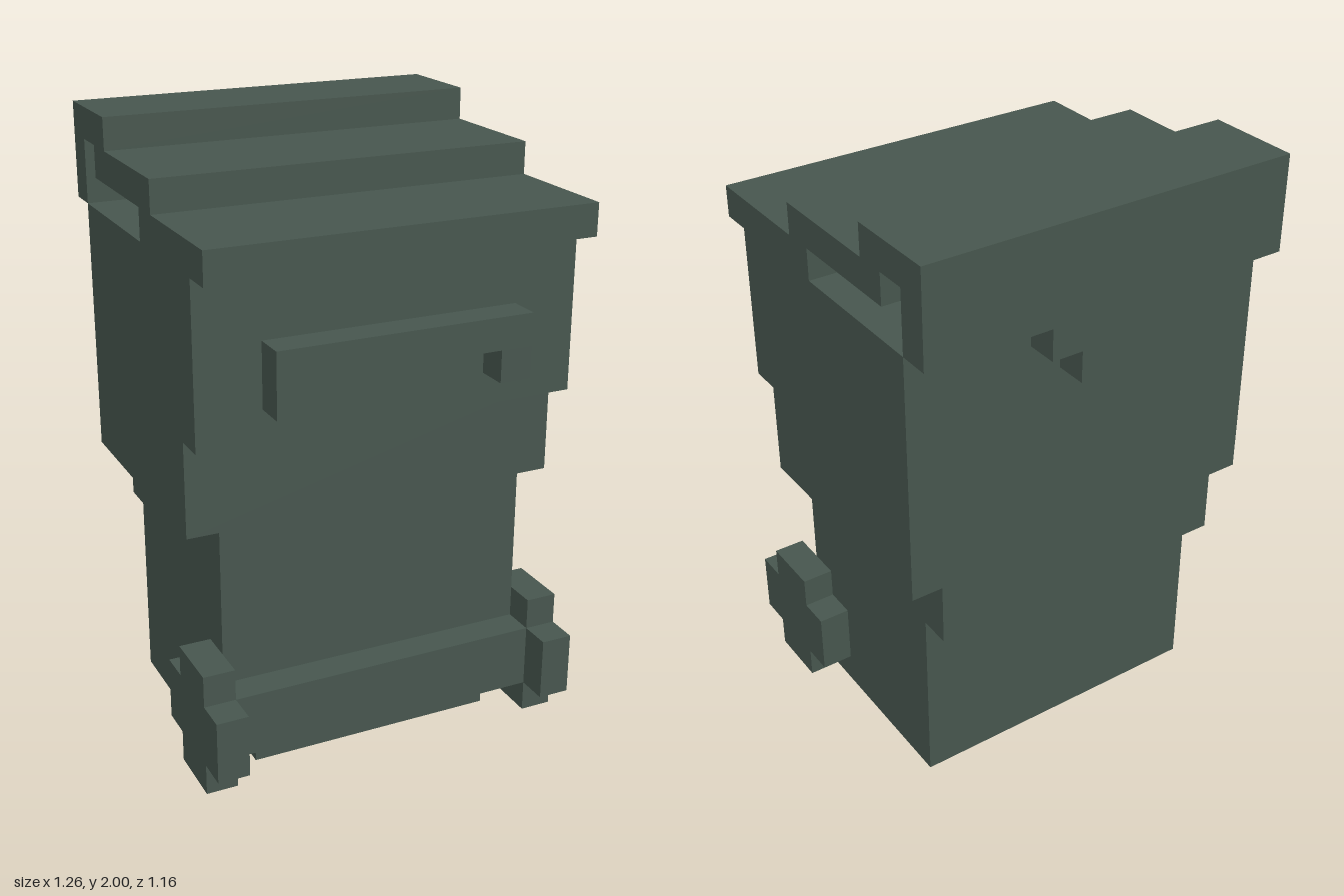
import * as THREE from 'three';

const U = 2 / 19; // one grid step of the blocky design

export function createModel() {
  const group = new THREE.Group();
  const darkGreen = new THREE.MeshStandardMaterial({ color: 0x47564e });

  const add = (name, geometry) => {
    geometry.scale(U, U, U);
    const mesh = new THREE.Mesh(geometry, darkGreen);
    mesh.name = name;
    group.add(mesh);
  };

  // Box given by its limits in grid steps
  const box = (name, x0, x1, y0, y1, z0, z1) =>
    add(name, new THREE.BoxGeometry(x1 - x0, y1 - y0, z1 - z0)
      .translate((x0 + x1) / 2, (y0 + y1) / 2, (z0 + z1) / 2));

  // Side profile of [z, y] points, extruded across x
  const profile = (name, points, x0, x1) => {
    const shape = new THREE.Shape(points.map(([z, y]) => new THREE.Vector2(-z, y)));
    add(name, new THREE.ExtrudeGeometry(shape, { depth: x1 - x0, bevelEnabled: false })
      .rotateY(Math.PI / 2).translate(x0, 0, 0));
  };

  // Lower bin, with its base cut away at the front corners for the wheels
  profile('lowerBody', [[3.5, 1], [3.5, 8], [-4.5, 8], [-4.5, 6], [-3.5, 6], [-3.5, 0], [2.5, 0], [2.5, 1]], -5, 5);
  box('baseFront', -4, 4, 0, 1, 2.5, 3.5);

  // Wider upper bin with a thicker front rim
  profile('upperBody', [[3.5, 8], [3.5, 11], [4.5, 11], [4.5, 16], [-4.5, 16], [-4.5, 8]], -6, 6);

  // Stepped lid that folds down over the back
  profile('lid', [
    [5.5, 16], [5.5, 17], [1.5, 17], [1.5, 18], [-2.5, 18], [-2.5, 19], [-5.5, 19], [-5.5, 16],
    [-4.5, 16], [-4.5, 18], [-3.5, 18], [-3.5, 17], [0.5, 17], [0.5, 16],
  ], -6, 6);

  // Hinge: inner block and stepped tab on the back
  box('hingeBlock', -2, 2, 16, 17, -4.5, -3.5);
  box('hingeTabUpper', -2, 2, 15, 16, -5.5, -4.5);
  box('hingeTabLower', -1, 1, 14, 15, -5.5, -4.5);

  // Front handle
  box('handleBar', -4, 4, 13, 14, 4.5, 5.5);

  // Axle housing between the wheels
  box('axle', -5, 5, 1, 3, 3.5, 4.5);

  for (const [side, s] of [['left', 1], ['right', -1]]) {
    const span = (a, b) => (s > 0 ? [a, b] : [-b, -a]);
    box(side + 'HandleEnd', ...span(3, 4), 12, 13, 4.5, 5.5);
    // Cross-shaped wheel
    profile(side + 'Wheel', [
      [4.5, 0], [4.5, 1], [5.5, 1], [5.5, 3], [4.5, 3], [4.5, 4],
      [2.5, 4], [2.5, 3], [1.5, 3], [1.5, 1], [2.5, 1], [2.5, 0],
    ], ...span(5, 6));
  }

  return group;
}
